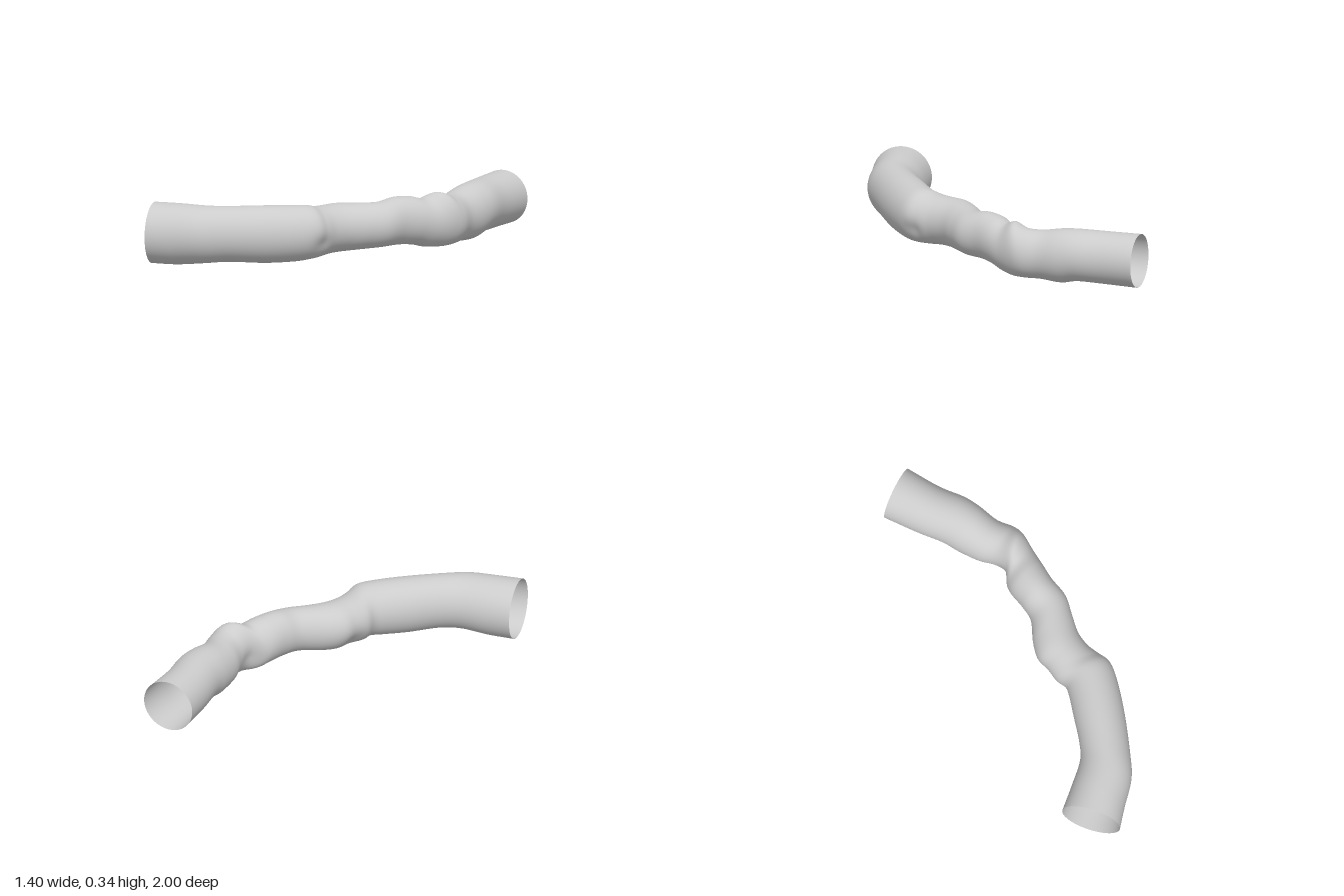
import * as THREE from 'three';

// Stations along the pipe: inner edge x, z, outer edge x, z, bottom y, top y
const STATIONS = [
  [-0.705, 0.665, -0.65, 0.995, 0, 0.34],
  [-0.55, 0.645, -0.52, 0.96, 0, 0.34],
  [-0.4, 0.62, -0.36, 0.92, 0.015, 0.335],
  [-0.3, 0.565, -0.23, 0.845, 0.022, 0.332],
  [-0.18, 0.47, -0.04, 0.715, 0.01, 0.33],
  [-0.08, 0.39, 0.11, 0.595, 0.012, 0.325],
  [-0.04, 0.345, 0.19, 0.51, 0.02, 0.32],
  [-0.03, 0.28, 0.21, 0.435, 0.022, 0.303],
  [0, 0.21, 0.225, 0.355, 0.028, 0.3],
  [0.03, 0.14, 0.27, 0.27, 0.03, 0.3],
  [0.11, 0.07, 0.35, 0.19, 0.036, 0.296],
  [0.22, 0, 0.43, 0.11, 0.044, 0.296],
  [0.27, -0.08, 0.48, 0, 0.045, 0.312],
  [0.31, -0.165, 0.535, -0.085, 0.035, 0.306],
  [0.35, -0.215, 0.59, -0.17, 0.015, 0.288],
  [0.41, -0.26, 0.645, -0.26, 0.01, 0.315],
  [0.43, -0.34, 0.665, -0.33, 0.01, 0.288],
  [0.415, -0.43, 0.66, -0.43, 0.008, 0.284],
  [0.412, -0.55, 0.685, -0.55, 0.002, 0.305],
  [0.415, -0.65, 0.693, -0.65, 0.02, 0.312],
  [0.405, -0.8, 0.685, -0.8, 0.016, 0.31],
  [0.4, -1, 0.7, -1, 0.013, 0.312],
];

// Soft dents in the wall: centre, radius, depth as a share of the pipe radius
const DENTS = [
  { at: new THREE.Vector3(0.2, 0.11, 0.47), size: 0.06, depth: 0.13 },
  { at: new THREE.Vector3(0.02, 0.08, 0.21), size: 0.08, depth: 0.15 },
  { at: new THREE.Vector3(0.41, 0.12, -0.27), size: 0.06, depth: 0.12 },
];

// Skins smooth elliptical sections strung between the two edge curves
function pipeGeometry(rings, sides) {
  const low = new THREE.CatmullRomCurve3(
    STATIONS.map(([x, z, , , y]) => new THREE.Vector3(x, y, z)), false, 'catmullrom', 0.5);
  const high = new THREE.CatmullRomCurve3(
    STATIONS.map(([, , x, z, , y]) => new THREE.Vector3(x, y, z)), false, 'catmullrom', 0.5);
  const positions = [];
  const index = [];
  for (let i = 0; i <= rings; i++) {
    const a = low.getPoint(i / rings);
    const b = high.getPoint(i / rings);
    const centre = a.clone().add(b).multiplyScalar(0.5);
    const half = b.clone().sub(a).multiplyScalar(0.5);
    for (let j = 0; j < sides; j++) {
      const angle = (j / sides) * Math.PI * 2;
      const offset = new THREE.Vector3(
        half.x * Math.cos(angle), half.y * Math.sin(angle), half.z * Math.cos(angle));
      const p = centre.clone().add(offset);
      let shrink = 0;
      for (const { at, size, depth } of DENTS) {
        shrink += depth * Math.exp(-p.distanceToSquared(at) / (size * size));
      }
      p.addScaledVector(offset, -shrink);
      positions.push(p.x, p.y, p.z);
      if (i < rings) {
        const k = i * sides + j;
        const n = i * sides + ((j + 1) % sides);
        index.push(k, k + sides, n, n, k + sides, n + sides);
      }
    }
  }
  const geometry = new THREE.BufferGeometry();
  geometry.setAttribute('position', new THREE.Float32BufferAttribute(positions, 3));
  geometry.setIndex(index);
  geometry.computeVertexNormals();
  return geometry;
}

export function createModel() {
  const model = new THREE.Group();
  model.name = 'bentPipe';
  // Thin open-ended wall, seen from inside and out
  const wall = new THREE.Mesh(
    pipeGeometry(168, 64),
    new THREE.MeshStandardMaterial({ color: 0xcccccc, side: THREE.DoubleSide }));
  wall.name = 'pipeWall';
  model.add(wall);
  return model;
}
